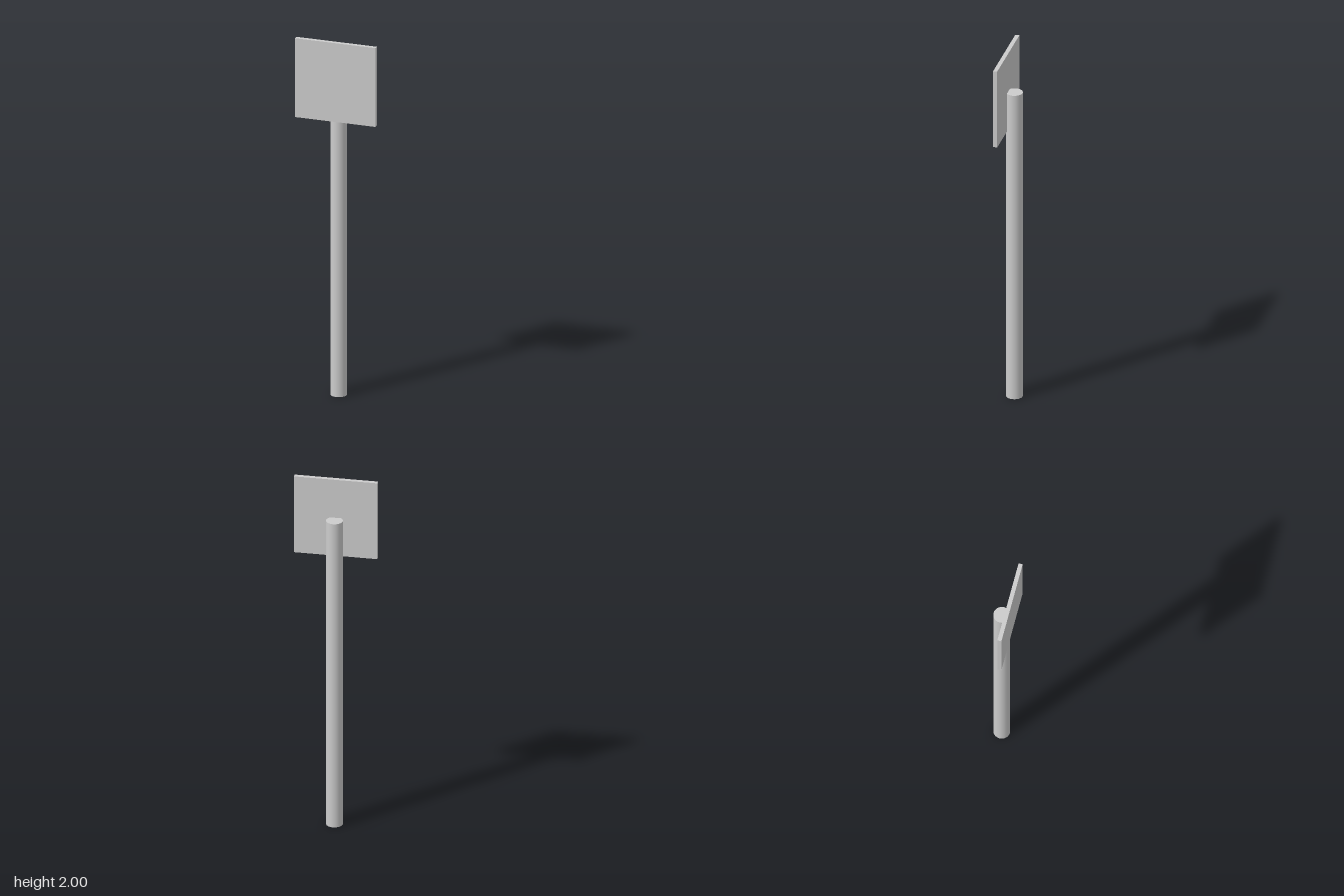
import * as THREE from 'three';

export function createModel() {
  const model = new THREE.Group();
  model.name = 'signpost';
  const material = new THREE.MeshStandardMaterial({ color: 0xcccccc });

  const add = (name, geometry, y, z) => {
    const mesh = new THREE.Mesh(geometry, material);
    mesh.name = name;
    mesh.position.set(0, y, z);
    model.add(mesh);
  };

  // Round post, ending halfway up the back of the panel
  const postHeight = 1.7778;
  add('post', new THREE.CylinderGeometry(0.0444, 0.0444, postHeight, 32), postHeight / 2, -0.0056);

  // Square panel, set slightly into the front of the post
  const panelSize = 0.4444;
  add('signPanel', new THREE.BoxGeometry(panelSize, panelSize, 0.0222), 2 - panelSize / 2, 0.0389);

  return model;
}
